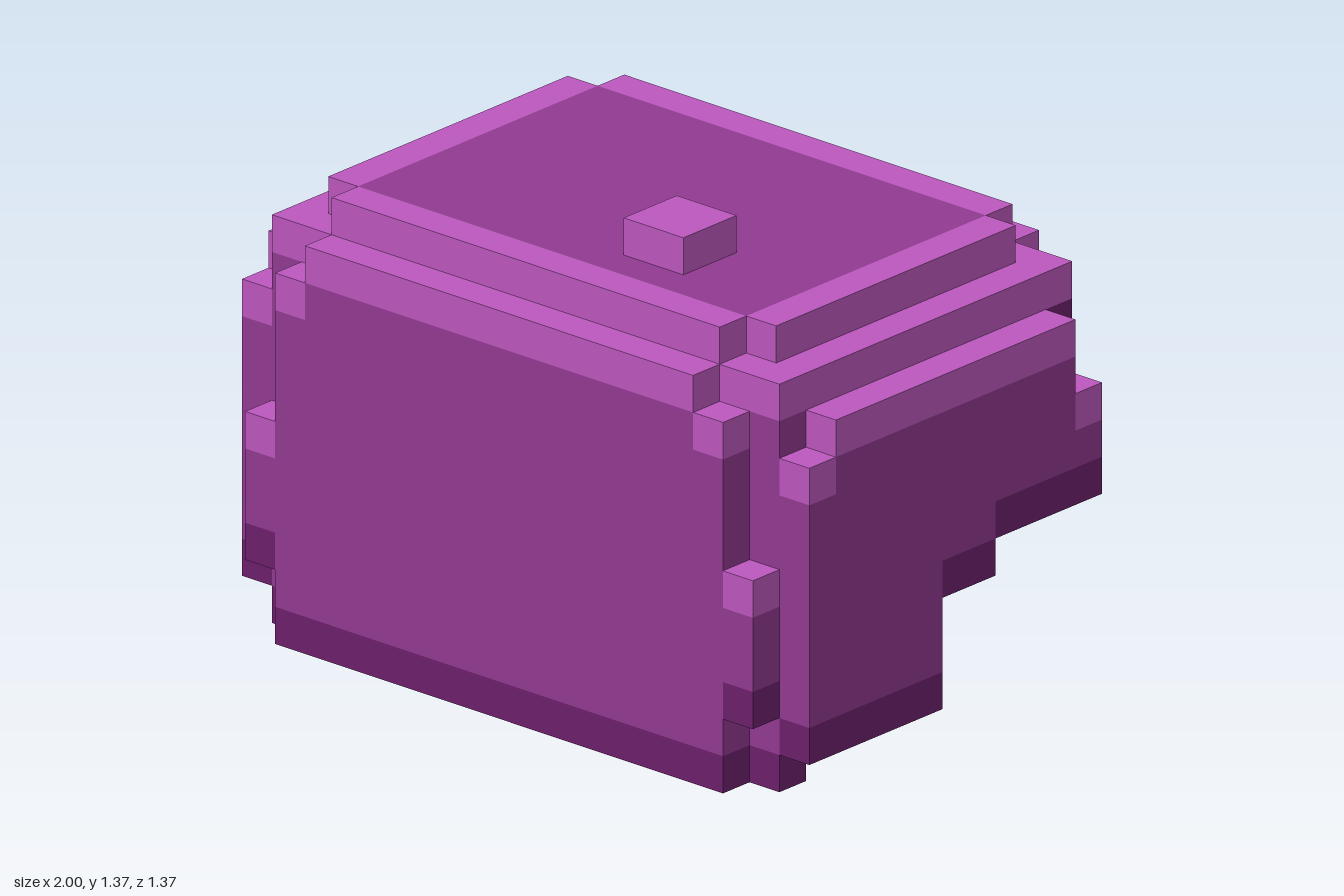
import * as THREE from 'three';

const U = 2 / 19; // one block

export function createModel() {
  const model = new THREE.Group();
  model.name = 'blockHair';

  const paint = (name, hex) => {
    const m = new THREE.MeshStandardMaterial({ color: hex });
    m.name = name;
    return m;
  };
  const light = paint('lightPurple', 0xbb57bd);
  const mid = paint('midPurple', 0x913a91);
  const dark = paint('darkPurple', 0x6c206c);

  // Box given by block indices: x 0..19, y 0..13, z 0..13 (front is 13)
  const box = (name, mat, [x0, x1], [y0, y1], [z0, z1]) => {
    const geo = new THREE.BoxGeometry((x1 - x0) * U, (y1 - y0) * U, (z1 - z0) * U);
    const mesh = new THREE.Mesh(geo, mat);
    mesh.position.set(((x0 + x1) / 2 - 9.5) * U, ((y0 + y1) / 2) * U, ((z0 + z1) / 2 - 6.5) * U);
    mesh.name = name;
    model.add(mesh);
  };
  // The same box on both sides; face order is +x, -x, +y, -y, +z, -z
  const pair = (name, mat, x, y, z) => {
    box(name + 'Left', mat, x, y, z);
    const flipped = Array.isArray(mat) ? [mat[1], mat[0], ...mat.slice(2)] : mat;
    box(name + 'Right', flipped, [19 - x[1], 19 - x[0]], y, z);
  };

  // Crown: plate with a light border, notched corners and a small tuft
  box('crown', mid, [3, 16], [11, 12], [2, 11]);
  const border = [light, light, light, mid, light, light];
  box('crownFrontBorder', border, [3, 16], [11, 12], [11, 12]);
  box('crownBackBorder', border, [3, 16], [11, 12], [1, 2]);
  pair('crownSideBorder', border, [16, 17], [11, 12], [2, 11]);
  box('tuft', light, [11, 13], [12, 13], [8, 10]);

  // Rim one step below the crown, dark on the inside
  box('frontRim', [light, light, light, dark, light, dark], [3, 16], [10, 11], [12, 13]);
  box('backRim', [light, light, light, dark, dark, light], [3, 16], [10, 11], [0, 1]);
  pair('sideRim', [light, dark, light, dark, light, light], [17, 18], [10, 11], [1, 12]);
  for (const z of [1, 11]) {
    pair('rimCorner', [light, dark, light, dark, light, light], [16, 17], [10, 11], [z, z + 1]);
  }

  // Front panel
  box('frontPanel', mid, [2, 17], [1, 9], [12, 13]);
  box('frontPanelTop', mid, [3, 16], [9, 10], [12, 13]);
  pair('frontPanelCorner', light, [16, 17], [9, 10], [12, 13]);
  box('frontPanelHem', dark, [2, 17], [0, 1], [12, 13]);

  // Corner columns joining the front panel to the side walls
  pair('cornerColumn', mid, [17, 18], [1, 10], [11, 12]);
  pair('cornerColumnHem', dark, [17, 18], [0, 1], [11, 12]);
  pair('cornerLockTop', light, [17, 18], [5, 6], [12, 13]);
  pair('cornerLock', mid, [17, 18], [3, 5], [12, 13]);
  pair('cornerLockHem', dark, [17, 18], [2, 3], [12, 13]);

  // Side walls: strips along z as [z0, z1, bottom, top]
  for (const [z0, z1, bottom, top] of [
    [1, 2, 5, 8], [2, 5, 5, 10], [5, 7, 4, 10], [7, 11, 1, 10], [11, 12, 1, 9],
  ]) {
    pair('sideWallHem', dark, [18, 19], [bottom, bottom + 1], [z0, z1]);
    pair('sideWall', mid, [18, 19], [bottom + 1, top - 1], [z0, z1]);
    pair('sideWallTop', light, [18, 19], [top - 1, top], [z0, z1]);
  }

  // Back fringe with longer locks
  box('fringe', mid, [3, 16], [9, 10], [0, 1]);
  pair('fringeCorner', light, [16, 17], [9, 10], [0, 1]);
  for (const [x0, x1, bottom] of [
    [2, 4, 8], [4, 5, 7], [5, 8, 8], [8, 9, 7], [9, 12, 8], [12, 14, 7], [14, 17, 8],
  ]) {
    box('fringeHem', dark, [x0, x1], [bottom, bottom + 1], [0, 1]);
    if (bottom < 8) box('fringeLock', mid, [x0, x1], [bottom + 1, 9], [0, 1]);
  }
  pair('fringeSide', dark, [17, 18], [9, 10], [1, 2]);
  pair('fringeInner', dark, [16, 17], [8, 9], [1, 2]);

  return model;
}
